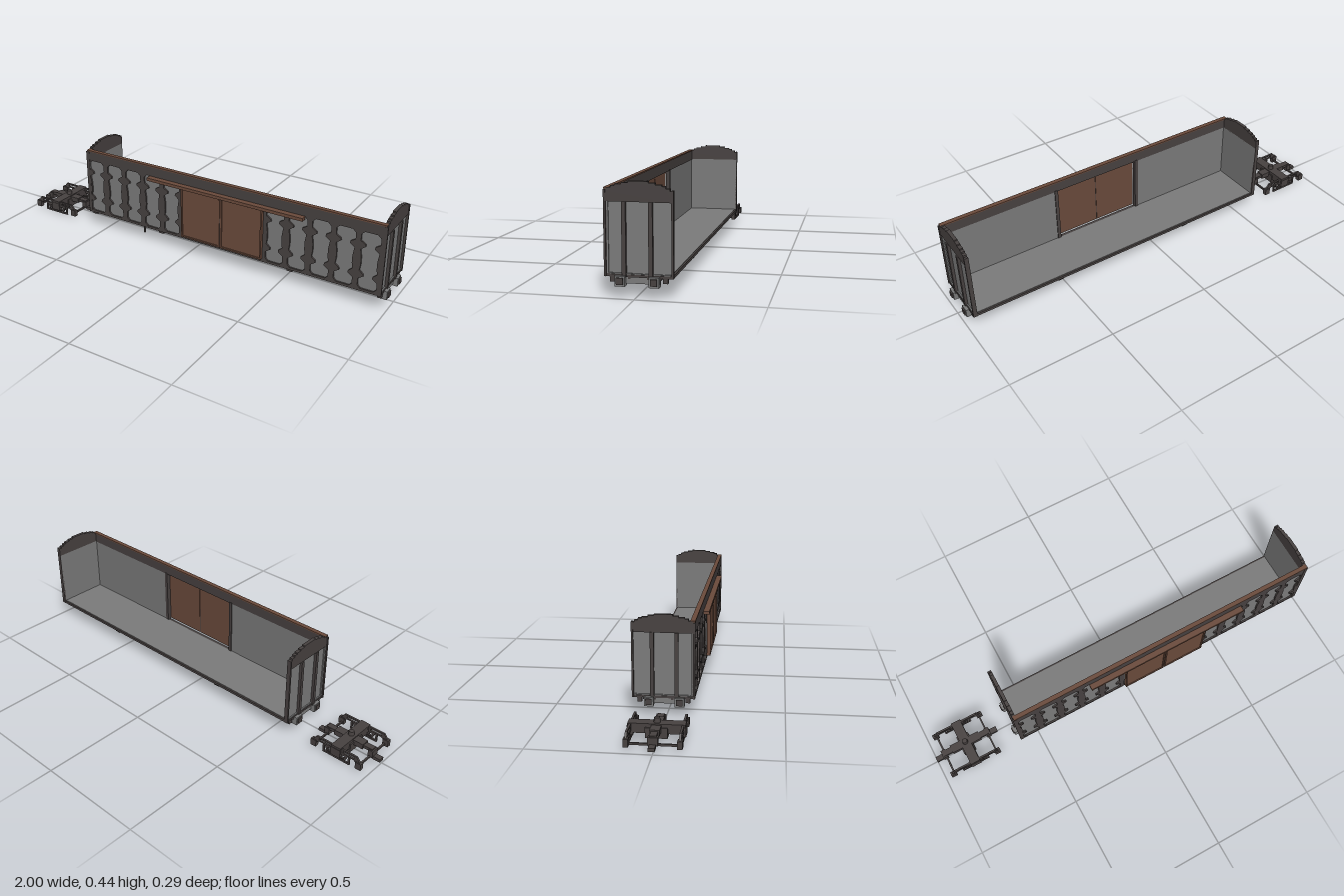
import * as THREE from 'three';

const mat = (name, color, side = THREE.FrontSide) => {
  const m = new THREE.MeshStandardMaterial({ color, side });
  m.name = name;
  return m;
};

export function createModel() {
  const dark = mat('dark frame', 0x484241);
  const grey = mat('grey panel', 0x7c7c7c);
  const brown = mat('brown door', 0x6b4b3c);
  const model = new THREE.Group();
  model.name = 'boxcar';
  const group = (name) => {
    const g = new THREE.Group();
    g.name = name;
    model.add(g);
    return g;
  };
  const add = (parent, name, geometry, material) => {
    const m = new THREE.Mesh(geometry, material);
    m.name = name;
    parent.add(m);
    return m;
  };
  // box given by its lower and upper limits on each axis
  const box = (parent, name, material, x0, x1, y0, y1, z0, z1) => {
    const m = add(parent, name, new THREE.BoxGeometry(x1 - x0, y1 - y0, z1 - z0), material);
    m.position.set((x0 + x1) / 2, (y0 + y1) / 2, (z0 + z1) / 2);
    return m;
  };
  const polygon = (points) => new THREE.Shape(points.map(([x, y]) => new THREE.Vector2(x, y)));
  const extrude = (shape, depth) => new THREE.ExtrudeGeometry(shape, { depth, bevelEnabled: false });

  const X0 = -0.59, X1 = 0.975, MID = (X0 + X1) / 2;
  const ZB = -0.145, ZF = 0.12, ZC = -0.0125;

  // ---- side wall: dark frame pierced by waisted panel openings ----
  const wall = group('sideWall');
  const half = [[0.028, 0.09], [0.043, 0.105], [0.043, 0.137], [0.02, 0.153], [0.022, 0.163],
    [0.04, 0.178], [0.036, 0.205], [0.036, 0.24], [0.042, 0.28], [0.02, 0.296], [0.022, 0.306],
    [0.044, 0.32], [0.044, 0.35], [0.028, 0.366]];
  const opening = (cx) => {
    const right = half.map(([x, y]) => [cx + x, y]);
    const left = half.map(([x, y]) => [cx - x, y]).reverse();
    return polygon([...right, ...left]);
  };
  for (const [a, b, first] of [[X0, -0.03, -0.535], [0.415, X1, 0.466]]) {
    const frame = polygon([[a, 0.08], [b, 0.08], [b, 0.37], [a, 0.37]]);
    for (let i = 0; i < 5; i++) frame.holes.push(opening(first + i * 0.1118));
    add(wall, 'wallFrame', extrude(frame, 0.01), dark).position.z = ZF - 0.01;
    box(wall, 'wallPanel', grey, a, b, 0.08, 0.37, 0.104, 0.112);
  }
  box(wall, 'topBand', dark, X0, X1, 0.365, 0.412, 0.102, ZF);
  box(wall, 'topCap', brown, X0, X1, 0.412, 0.418, 0.1, ZF + 0.001);
  box(wall, 'sill', dark, X0, X1, 0.08, 0.092, 0.1, ZF);
  for (const x of [-0.032, 0.412]) box(wall, 'doorPost', dark, x - 0.008, x + 0.008, 0.09, 0.37, 0.1, ZF);

  // ---- sliding double door with rail ----
  const door = group('door');
  for (const [a, b] of [[-0.022, 0.19], [0.194, 0.408]]) {
    box(door, 'doorLeaf', brown, a, b, 0.098, 0.352, 0.121, 0.133);
    for (const x of [a, b - 0.007]) box(door, 'doorStile', brown, x, x + 0.007, 0.098, 0.352, 0.133, 0.138);
    for (const y of [0.098, 0.345]) box(door, 'doorEdge', brown, a, b, y, y + 0.007, 0.133, 0.138);
  }
  box(door, 'doorSeam', dark, 0.19, 0.194, 0.098, 0.352, 0.123, 0.134);
  box(door, 'doorRail', brown, -0.21, 0.61, 0.35, 0.365, ZF, 0.147);

  // ---- floor and underframe ----
  const floor = group('floor');
  box(floor, 'floorTop', grey, X0, X1, 0.088, 0.094, -0.138, 0.104);
  box(floor, 'floorUnderside', dark, X0, X1, 0.082, 0.088, -0.142, 0.104);
  box(floor, 'backSill', dark, X0, X1, 0.08, 0.092, -0.146, -0.138);
  for (const z of [-0.095, -0.05, 0.025, 0.07])
    box(floor, 'longBeam', dark, X0, X1, 0.072, 0.083, z - 0.005, z + 0.005);
  for (const s of [-1, 1])
    box(floor, 'crossBeam', dark, MID + s * 0.35 - 0.014, MID + s * 0.35 + 0.014, 0.066, 0.083, -0.135, 0.11);

  // brake bracket hanging below the floor
  const bracket = group('brakeBracket');
  for (const z of [0.04, -0.056]) box(bracket, 'bracketPost', dark, -0.311, -0.304, 0, 0.083, z - 0.004, z + 0.004);
  box(bracket, 'bracketBar', dark, -0.311, -0.304, 0.048, 0.055, -0.056, 0.04);

  // ---- end walls, with a stepped arch on top ----
  const arch = [[0.133, 0.365], [0.133, 0.408], [0.121, 0.408], [0.121, 0.417], [0.105, 0.417], [0.105, 0.425],
    [0.09, 0.425], [0.09, 0.431], [0.065, 0.431], [0.065, 0.437], [0.039, 0.437], [0.039, 0.443]];
  const archShape = polygon([...arch, ...arch.map(([z, y]) => [-z, y]).reverse()]);
  for (const s of [-1, 1]) {
    const end = group(s > 0 ? 'leftEnd' : 'rightEnd');
    // d is the distance outward from the car's middle
    const endBox = (name, m, d0, d1, y0, y1, z0, z1) =>
      box(end, name, m, MID + Math.min(s * d0, s * d1), MID + Math.max(s * d0, s * d1), y0, y1, z0, z1);
    endBox('endPanel', grey, 0.769, 0.777, 0.085, 0.368, ZB, ZF - 0.002);
    const top = add(end, 'endArch', extrude(archShape, 0.016), dark);
    top.rotation.y = Math.PI / 2;
    top.position.set(MID + s * 0.777 - 0.008, 0, ZC);
    for (const z of [0.043, -0.06]) endBox('endPost', dark, 0.777, 0.79, 0.08, 0.366, z - 0.008, z + 0.008);
    endBox('cornerPost', dark, 0.769, 0.788, 0.08, 0.41, ZF - 0.007, ZF + 0.001);
    endBox('cornerPost', dark, 0.769, 0.788, 0.08, 0.41, ZB - 0.002, ZB + 0.006);
    endBox('endSill', dark, 0.765, 0.785, 0.08, 0.09, ZB, ZF);
    endBox('endSkirt', grey, 0.772, 0.78, 0.055, 0.082, -0.095, 0.078);
    for (const z of [0.057, -0.074]) {
      endBox('bufferBlock', grey, 0.77, 0.8, 0.046, 0.086, z - 0.02, z + 0.02);
      endBox('bufferFace', dark, 0.8, 0.806, 0.054, 0.08, z - 0.013, z + 0.013);
    }
    for (const z of [0.09, -0.115]) endBox('cornerStep', dark, 0.765, 0.782, 0.06, 0.081, z - 0.01, z + 0.01);
  }

  // ---- separate bogie frame ----
  const bogie = group('bogie');
  const BX = -0.838, BZ = -0.004;
  const bar = (name, x0, x1, y0, y1, z0, z1, m = dark) =>
    box(bogie, name, m, BX + x0, BX + x1, y0, y1, BZ + z0, BZ + z1);
  const sideShape = polygon([[-0.13, 0.034], [-0.105, 0.068], [0.105, 0.068], [0.13, 0.034], [0.105, 0.034],
    [0.09, 0.045], [0.06, 0.045], [0.048, 0.018], [-0.048, 0.018], [-0.06, 0.045], [-0.09, 0.045], [-0.105, 0.034]]);
  const windowHole = (a, b) => polygon([[a, 0.05], [b, 0.05], [b, 0.06], [a, 0.06]]);
  sideShape.holes.push(windowHole(-0.092, -0.035), windowHole(0.035, 0.092),
    polygon([[-0.04, 0.024], [0.04, 0.024], [0.045, 0.038], [-0.045, 0.038]]));
  for (const s of [-1, 1]) {
    const z = s * 0.105;
    add(bogie, 'sideFrame', extrude(sideShape, 0.009), dark).position.set(BX, 0, BZ + z - 0.0045);
    bar('tieBar', -0.07, 0.07, 0.004, 0.012, z - 0.004, z + 0.004);
    for (const e of [-1, 1]) {
      bar('axleBox', e * 0.117 - 0.014, e * 0.117 + 0.014, 0.012, 0.045, z - 0.01, z + 0.01);
      bar('tieBarHanger', e * 0.066 - 0.004, e * 0.066 + 0.004, 0.004, 0.046, z - 0.004, z + 0.004);
    }
    bar('springBlock', -0.025, 0.025, 0.02, 0.06, z - 0.012, z + 0.012);
    // cross members and coupler ends
    bar('crossBar', s * 0.113 - 0.004, s * 0.113 + 0.004, 0.018, 0.027, -0.105, 0.105);
    bar('couplerEnd', s * 0.143 - 0.019, s * 0.143 + 0.019, 0.012, 0.027, -0.013, 0.013);
    bar('beamRiser', s * 0.115 - 0.012, s * 0.115 + 0.012, 0.02, 0.055, -0.02, 0.02);
  }
  bar('centreBeam', -0.12, 0.12, 0.045, 0.06, -0.014, 0.014);
  bar('beamPlate', -0.075, 0.075, 0.04, 0.065, -0.02, 0.02);
  bar('bolster', -0.024, 0.024, 0.03, 0.07, -0.115, 0.115);
  bar('bolsterCore', -0.03, 0.03, 0.012, 0.055, -0.045, 0.045);
  const pivot = add(bogie, 'pivot', new THREE.CylinderGeometry(0.012, 0.014, 0.02, 12), dark);
  pivot.position.set(BX, 0.08, BZ);

  return model;
}
